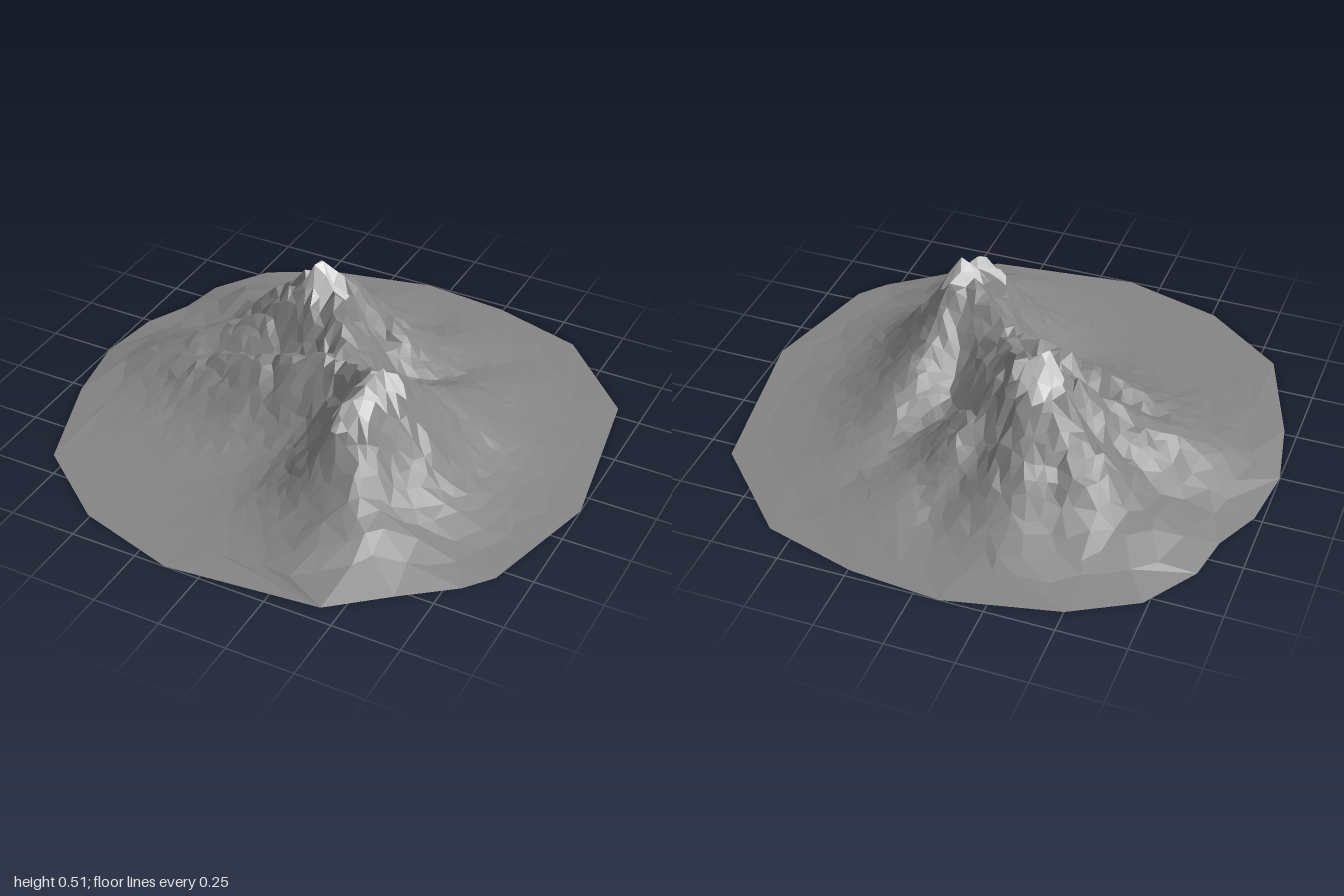
import * as THREE from 'three';

// Rim of the base, as [x, z]
const RIM = [
  [0.9, -0.55], [1, 0.08], [0.88, 0.54], [0.8, 0.64], [0.62, 0.78], [0.43, 0.94], [-0.13, 1],
  [-0.51, 0.89], [-0.81, 0.66], [-0.95, 0.27], [-1, 0], [-0.97, -0.24], [-0.89, -0.41],
  [-0.86, -0.58], [-0.73, -0.78], [-0.5, -0.91], [-0.09, -1], [0.24, -0.97], [0.59, -0.87],
].map(([x, z]) => ({ a: (Math.atan2(z, x) + 2 * Math.PI) % (2 * Math.PI), r: Math.hypot(x, z), x, z }))
  .sort((p, q) => p.a - q.a);

// Ridge lines: [x, z, height, slope width]
const MAIN = [-0.18, -0.24, 0.5, 0.25];
const SADDLE = [0.12, 0.1, 0.35, 0.2];
const SECOND = [0.29, 0.24, 0.48, 0.23];
const RIDGES = [
  [MAIN, [0, -0.06, 0.36, 0.22], SADDLE, SECOND,
    [0.27, 0.38, 0.41, 0.2], [0.37, 0.57, 0.17, 0.23], [0.45, 0.78, 0.05, 0.22]],
  [MAIN, [-0.36, -0.38, 0.3, 0.23], [-0.58, -0.46, 0.11, 0.23]],
  [MAIN, [-0.42, -0.12, 0.26, 0.22], [-0.62, -0.05, 0.16, 0.2], [-0.82, -0.06, 0.06, 0.2]],
  [MAIN, [-0.2, -0.42, 0.35, 0.22], [-0.24, -0.63, 0.11, 0.2]],
  [MAIN, [0.02, -0.34, 0.27, 0.23], [0.18, -0.52, 0.09, 0.23]],
  [SADDLE, [-0.1, 0.07, 0.31, 0.19], [-0.3, 0.08, 0.24, 0.19], [-0.5, 0.06, 0.17, 0.19], [-0.7, 0, 0.11, 0.2]],
  [SECOND, [0.36, -0.05, 0.24, 0.23], [0.41, -0.35, 0.08, 0.24]],
];

// Summits: [x, height, z, snow radius]
const SUMMITS = [[-0.18, 0.51, -0.24, 0.105], [0.31, 0.49, 0.25, 0.085], [0.26, 0.42, 0.38, 0.075]];

function seeded(seed) {
  return () => {
    seed = (seed * 1664525 + 1013904223) % 4294967296;
    return seed / 4294967296;
  };
}

function rimRadius(a) {
  const n = RIM.length;
  let k = RIM.findIndex((p) => p.a > a);
  if (k < 0) k = n;
  const p = RIM[(k + n - 1) % n], q = RIM[k % n];
  const turn = 2 * Math.PI;
  const span = (q.a - p.a + turn) % turn;
  return THREE.MathUtils.lerp(p.r, q.r, ((a - p.a + turn) % turn) / span);
}

// Highest slope falling away from any ridge line
function heightAt(x, z) {
  let best = 0;
  for (const line of RIDGES) {
    for (let i = 0; i + 1 < line.length; i++) {
      const [ax, az, ah, aw] = line[i], [bx, bz, bh, bw] = line[i + 1];
      const dx = bx - ax, dz = bz - az;
      const t = THREE.MathUtils.clamp(((x - ax) * dx + (z - az) * dz) / (dx * dx + dz * dz), 0, 1);
      const d = Math.hypot(x - ax - t * dx, z - az - t * dz);
      const w = aw + (bw - aw) * t;
      best = Math.max(best, (ah + (bh - ah) * t) * Math.exp(-Math.pow(d / w, 1.5)));
    }
  }
  return best;
}

// Rings of jittered points, dense on the slopes and sparse near the rim
function buildRings() {
  const rand = seeded(11);
  const rings = [[{ a: 0, p: new THREE.Vector3(0, heightAt(0, 0), 0) }]];
  let step = 0.039;
  for (let t = step; t < 0.88; t += step) {
    if (t > 0.62) step *= 1.2;
    const n = Math.max(6, Math.round((2 * Math.PI * t) / step));
    const ring = [];
    for (let i = 0; i < n; i++) {
      const a = ((i + 0.3 + rand() * 0.55) / n) * 2 * Math.PI;
      const r = (t + (rand() - 0.5) * step * 0.6) * rimRadius(a);
      const x = Math.cos(a) * r, z = Math.sin(a) * r;
      const rough = x < 0.15 || z > 0.2 ? 0.12 : 0.05;
      const gullies = 0.03 * Math.sin(x * 31 + 2 * Math.sin(z * 17)) * Math.sin(z * 27 + 1);
      const edge = THREE.MathUtils.smoothstep(1 - t, -0.04, 0.2);
      const y = heightAt(x, z) * edge * (1 + gullies + (rand() - 0.5) * rough);
      ring.push({ a, p: new THREE.Vector3(x, y, z) });
    }
    rings.push(ring);
  }
  rings.push(RIM.map(({ a, x, z }) => ({ a, p: new THREE.Vector3(x, 0, z) })));

  // Pull the nearest point onto each summit
  const all = rings.flat().map((v) => v.p);
  for (const [x, y, z] of SUMMITS) {
    all.sort((u, v) => Math.hypot(u.x - x, u.z - z) - Math.hypot(v.x - x, v.z - z));
    all[0].set(x, y, z);
  }
  return rings;
}

function part(name, points, color) {
  const geometry = new THREE.BufferGeometry().setFromPoints(points);
  geometry.computeVertexNormals();
  const material = new THREE.MeshStandardMaterial({ color, flatShading: true, side: THREE.DoubleSide });
  const mesh = new THREE.Mesh(geometry, material);
  mesh.name = name;
  return mesh;
}

export function createModel() {
  const rock = [], snow = [];

  // Sort each face into snow cap or rock
  const face = (a, b, c) => {
    if (a === b || b === c || a === c) return;
    const m = new THREE.Vector3().add(a).add(b).add(c).divideScalar(3);
    const capped = SUMMITS.some(([x, y, z, r]) => Math.hypot(m.x - x, m.z - z) < r && m.y > y - 0.11);
    (capped ? snow : rock).push(a, b, c);
  };

  // Stitch neighbouring rings by angle
  const rings = buildRings();
  const at = (ring, i) => ring[i % ring.length].p;
  const angle = (ring, i) => ring[i % ring.length].a + (i >= ring.length ? 2 * Math.PI : 0);
  for (let k = 0; k + 1 < rings.length; k++) {
    const inner = rings[k], outer = rings[k + 1];
    let i = 0, j = 0;
    while (i < inner.length || j < outer.length) {
      const outward = i >= inner.length
        || (j < outer.length && (inner.length === 1 || angle(outer, j + 1) <= angle(inner, i + 1)));
      if (outward) {
        face(at(inner, i), at(outer, j + 1), at(outer, j));
        j++;
      } else {
        face(at(inner, i), at(inner, i + 1), at(outer, j));
        i++;
      }
    }
  }

  const group = new THREE.Group();
  group.name = 'mountain';
  group.add(part('rockSlopes', rock, 0x858585), part('snowCaps', snow, 0xe0e0e0));
  return group;
}
